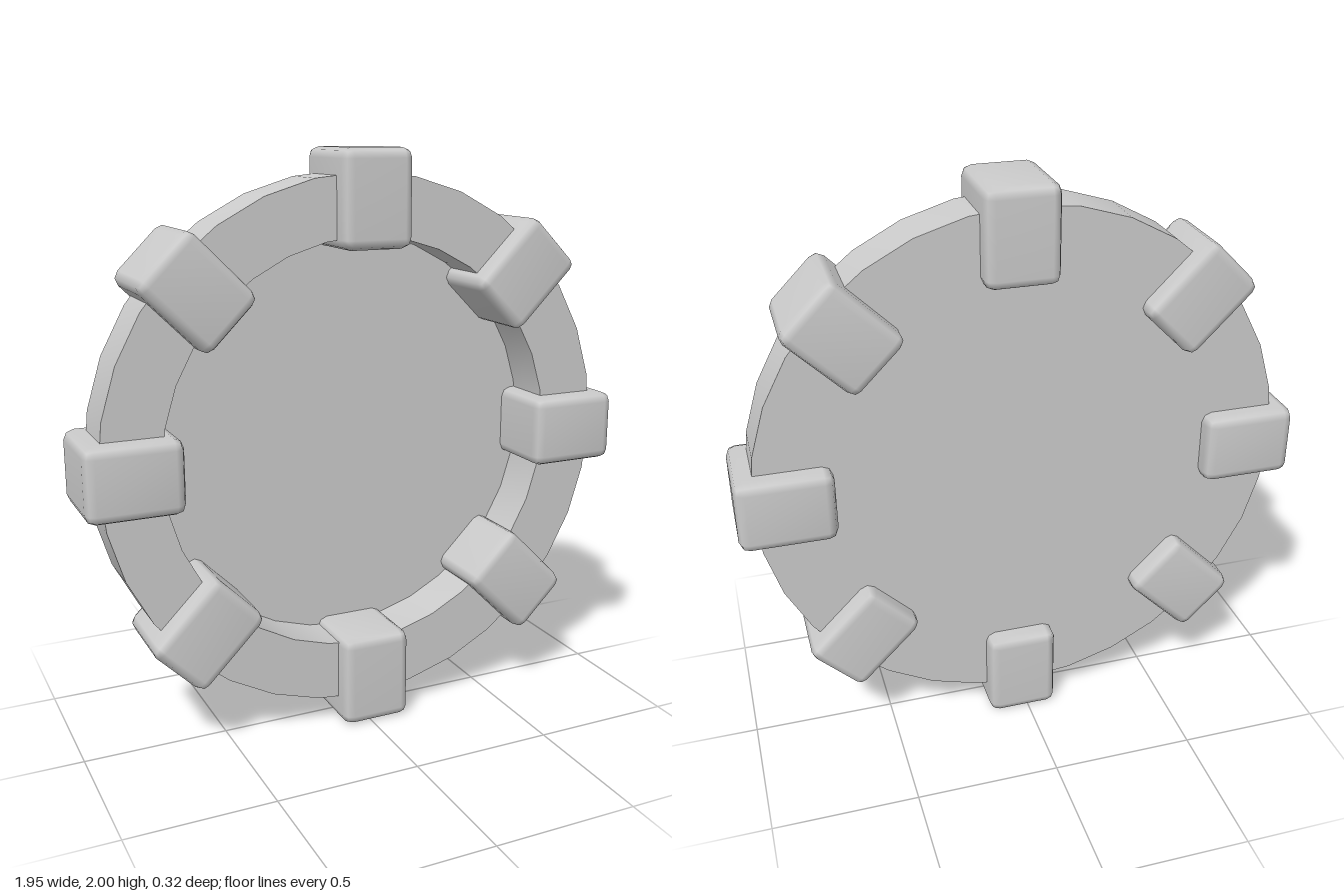
import * as THREE from 'three';
import { mergeVertices, toCreasedNormals } from 'three/addons/utils/BufferGeometryUtils.js';
import { RoundedBoxGeometry } from 'three/addons/geometries/RoundedBoxGeometry.js';

const CENTER_Y = 1.003;

// Shallow dish: a raised rim around a thin flat back plate
function makeDish(material) {
  const profile = [
    [0, -0.094], [0.92, -0.094], [0.92, 0.094],
    [0.714, 0.094], [0.714, -0.085], [0, -0.085],
  ].map(([r, h]) => new THREE.Vector2(r, h));
  const lathe = new THREE.LatheGeometry(profile, 32);
  lathe.rotateX(Math.PI / 2);
  const dish = new THREE.Mesh(toCreasedNormals(lathe, 0.6), material);
  dish.name = 'dish';
  dish.position.y = CENTER_Y;
  return dish;
}

// Bevelled block with normals blended across its edges
function makeBlockGeometry() {
  const box = new RoundedBoxGeometry(0.325, 0.25, 0.325, 1, 0.034);
  box.deleteAttribute('normal');
  box.deleteAttribute('uv');
  box.clearGroups();
  const merged = mergeVertices(box, 1e-4);
  merged.computeVertexNormals();
  return merged;
}

export function createModel() {
  const group = new THREE.Group();
  group.name = 'studdedDisc';
  const material = new THREE.MeshStandardMaterial({ color: 0xcccccc });
  group.add(makeDish(material));

  // Eight blocks straddling the rim: x, y and angle of the long side
  const d = Math.PI / 4;
  const blocks = [
    ['rightBlock', -0.814, 0.993, 0],
    ['leftBlock', 0.814, 0.993, 0],
    ['topBlock', 0.02, 1.8375, 2 * d],
    ['bottomBlock', 0.02, 0.1625, 2 * d],
  ];
  for (const sx of [-1, 1]) {
    for (const sy of [-1, 1]) {
      const name = (sy > 0 ? 'upper' : 'lower') + (sx > 0 ? 'Left' : 'Right') + 'Block';
      blocks.push([name, sx * 0.593, CENTER_Y + sy * 0.566, sx * sy * d]);
    }
  }
  const geometry = makeBlockGeometry();
  for (const [name, x, y, angle] of blocks) {
    const block = new THREE.Mesh(geometry, material);
    block.name = name;
    block.position.set(x, y, 0);
    block.rotation.z = angle;
    group.add(block);
  }
  return group;
}
